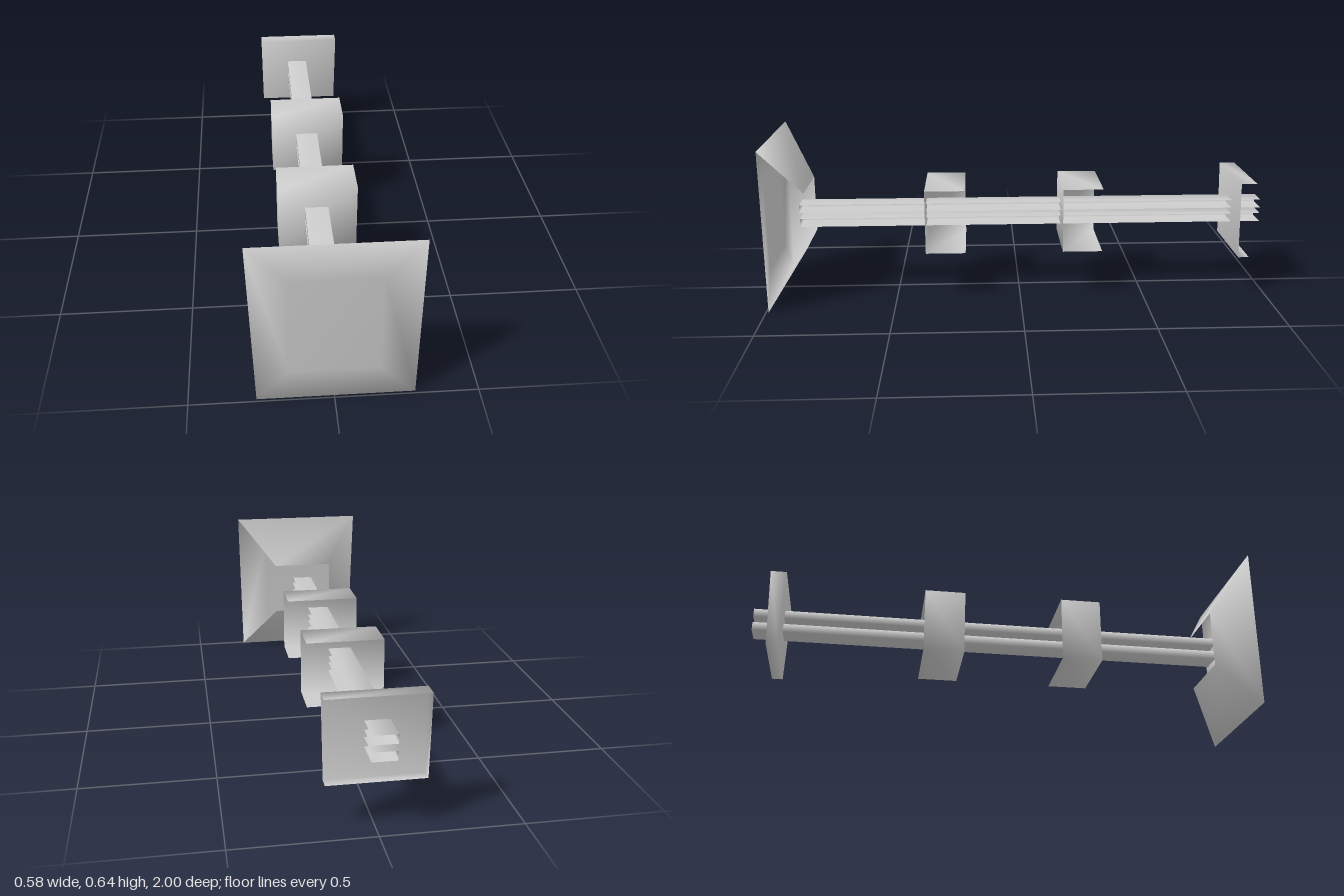
import * as THREE from 'three';

const material = new THREE.MeshStandardMaterial({ color: 0xcccccc, side: THREE.DoubleSide });

// Four corners of a cross-section, counter-clockwise seen from the front
const rect = (x0, x1, y0, y1, z) => [[x0, y0, z], [x1, y0, z], [x1, y1, z], [x0, y1, z]];

// Thin shell lofted through cross-sections from back to front: closed at the
// front, open at the back, and open on the +x side between the first two.
function shell(name, ...sections) {
  const index = [];
  for (let s = 0; s < sections.length - 1; s++) {
    for (let i = 0; i < 4; i++) {
      if (s === 0 && i === 1) continue;
      const j = (i + 1) % 4;
      const a = s * 4 + i, b = s * 4 + j, c = b + 4, d = a + 4;
      index.push(a, b, c, a, c, d);
    }
  }
  const e = (sections.length - 1) * 4;
  index.push(e, e + 1, e + 2, e, e + 2, e + 3);

  const geometry = new THREE.BufferGeometry();
  geometry.setAttribute('position', new THREE.Float32BufferAttribute(sections.flat(2), 3));
  geometry.setIndex(index);
  geometry.computeVertexNormals();
  const mesh = new THREE.Mesh(geometry, material);
  mesh.name = name;
  return mesh;
}

export function createModel() {
  const model = new THREE.Group();
  model.name = 'railAssembly';

  // Flared front plate with a slightly raised face
  model.add(shell('frontPlate',
    rect(-0.145, 0.12, 0.205, 0.436, 0.855),
    [[-0.267, 0, 0.99], [0.28, 0, 0.99], [0.288, 0.645, 0.988], [-0.29, 0.645, 0.988]],
    rect(-0.155, 0.155, 0.13, 0.51, 1)));

  // Pair of long rails, one above the other
  for (const [name, y0, y1] of [['lowerRail', 0.27, 0.304], ['upperRail', 0.329, 0.362]]) {
    model.add(shell(name,
      rect(-0.058, 0.03, y0, y1, -1),
      rect(-0.058, 0.03, y0, y1, 0.893)));
  }

  // Two brackets along the rails
  for (const [name, z] of [['frontBracket', 0.3], ['rearBracket', -0.252]]) {
    model.add(shell(name,
      rect(-0.16, 0.14, 0.185, 0.444, z - 0.08),
      rect(-0.16, 0.14, 0.185, 0.444, z + 0.08)));
  }

  // Shallow end plate with a slightly shorter lower flange
  model.add(shell('endPlate',
    [[-0.18, 0.16, -0.926], [0.168, 0.16, -0.926], [0.173, 0.469, -0.938], [-0.183, 0.469, -0.938]],
    [[-0.18, 0.16, -0.883], [0.168, 0.16, -0.883], [0.173, 0.469, -0.876], [-0.183, 0.469, -0.876]]));

  return model;
}
